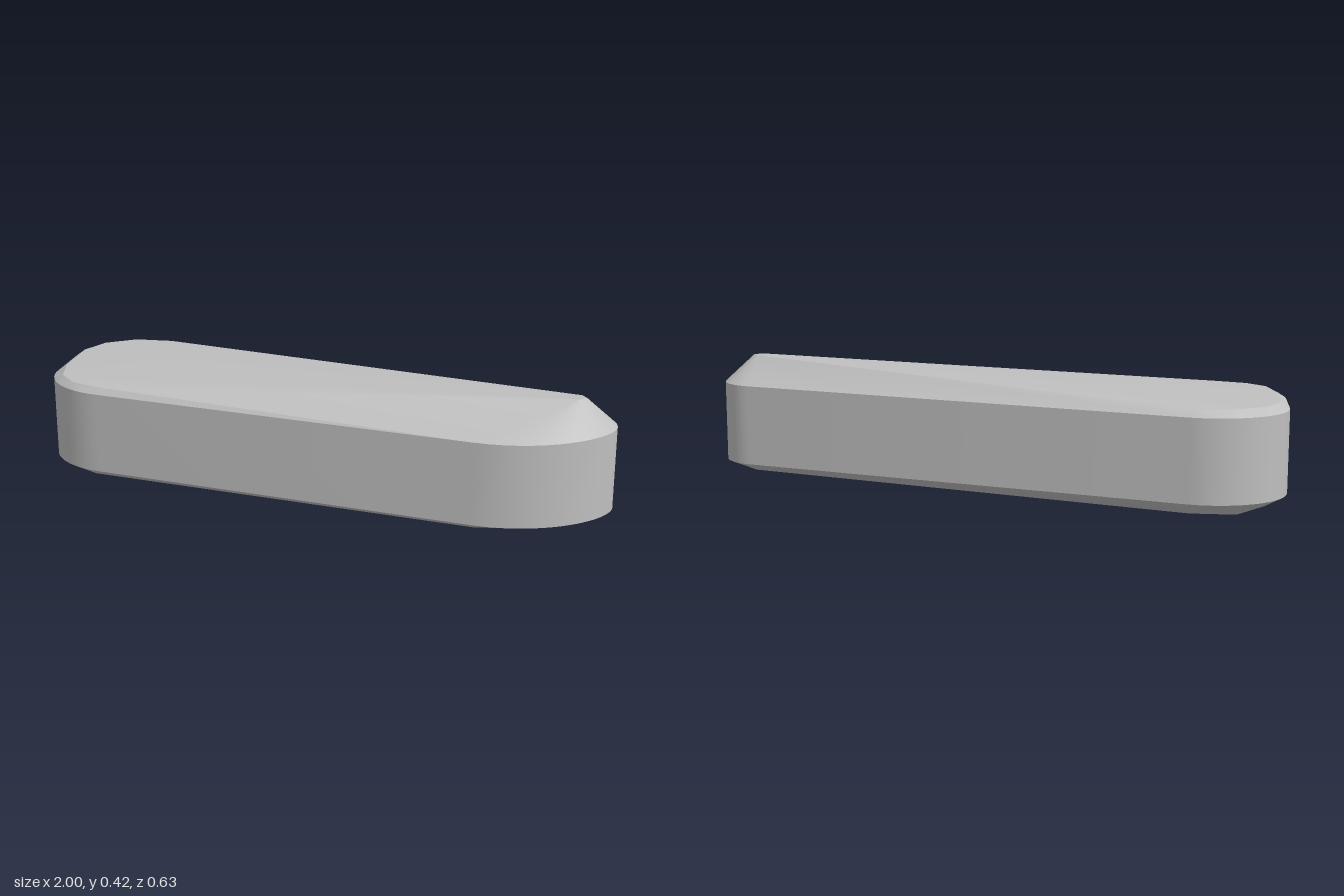
import * as THREE from 'three';
import { ConvexGeometry } from 'three/addons/geometries/ConvexGeometry.js';
import { toCreasedNormals } from 'three/addons/utils/BufferGeometryUtils.js';

const WALL_BOTTOM = 0.05;
const WALL_TOP = 0.33;

// Plan outline in x and z: broad rounded end at -x, narrow end at +x
function planOutline() {
  const s = new THREE.Shape();
  s.moveTo(-0.67, -0.31);
  s.lineTo(0.87, -0.1);
  s.bezierCurveTo(0.95, -0.09, 1, -0.03, 1, 0.03);
  s.bezierCurveTo(1, 0.13, 0.84, 0.31, 0.6, 0.31);
  s.lineTo(-0.72, 0.305);
  s.bezierCurveTo(-0.86, 0.305, -0.96, 0.22, -0.975, 0.11);
  s.lineTo(-1, -0.08);
  s.bezierCurveTo(-1.01, -0.24, -0.83, -0.345, -0.67, -0.31);
  return s.getPoints(14);
}

export function createModel() {
  const group = new THREE.Group();
  const grey = new THREE.MeshStandardMaterial({ color: 0xbfbfbf });
  grey.name = 'light grey';

  // Upright wall: the outline at two heights
  const points = [];
  for (const p of planOutline()) {
    points.push(new THREE.Vector3(p.x, WALL_BOTTOM, p.y));
    points.push(new THREE.Vector3(p.x, WALL_TOP, p.y));
  }

  // Sloping crown: a plateau that rises to a small peak at the narrow end
  const crown = [
    [0.88, 0.424, 0.015], [0.9, 0.423, 0.035], [0.88, 0.424, 0.06],
    [-0.72, 0.351, -0.29], [-0.85, 0.352, -0.26], [-0.94, 0.352, -0.18],
    [-0.97, 0.352, -0.08], [-0.945, 0.352, 0.1], [-0.9, 0.352, 0.21],
    [-0.83, 0.351, 0.265], [-0.72, 0.351, 0.287],
  ];

  // Shallow keel: lowest near the back of the broad end
  const keel = [
    [-0.85, 0.002, -0.22], [-0.7, 0.002, -0.24], [-0.72, 0.002, -0.17],
    [-0.93, 0.006, -0.1], [-0.93, 0.012, 0.08], [-0.72, 0.03, -0.29],
    [-0.75, 0.03, 0.28], [0.6, 0.03, 0.28],
    [0.87, 0.018, -0.04], [0.91, 0.018, 0.03], [0.86, 0.02, 0.1],
  ];
  for (const p of [...crown, ...keel]) points.push(new THREE.Vector3(...p));

  const body = new THREE.Mesh(toCreasedNormals(new ConvexGeometry(points), 0.35), grey);
  body.name = 'body';
  group.add(body);
  return group;
}
